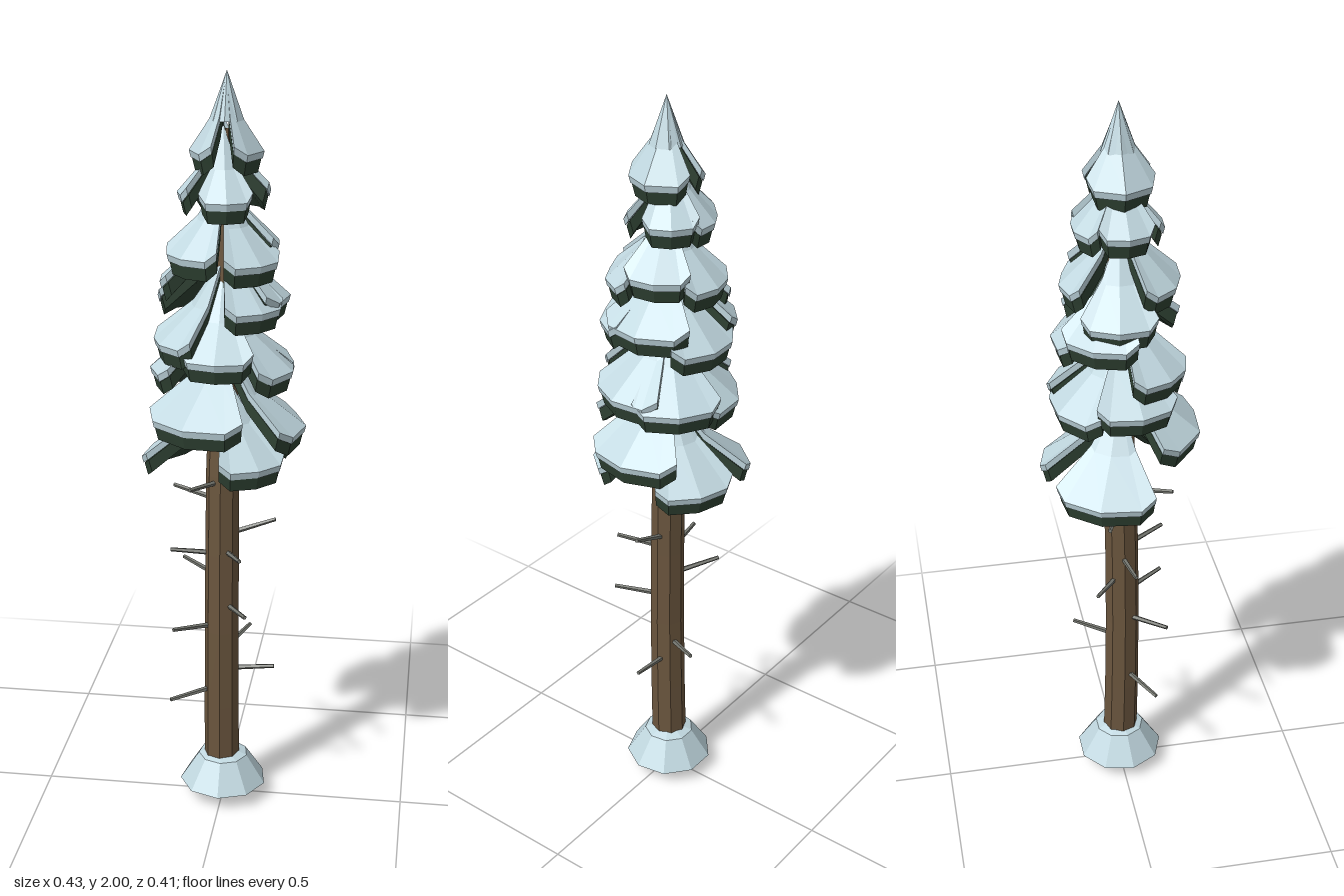
import * as THREE from 'three';

const snow = new THREE.MeshStandardMaterial({ color: 0xc1d8e0 });
const needles = new THREE.MeshStandardMaterial({ color: 0x2f4233 });
const bark = new THREE.MeshStandardMaterial({ color: 0x6b563e });
const twigGrey = new THREE.MeshStandardMaterial({ color: 0x74766f });
snow.name = 'snow';
needles.name = 'needles';
bark.name = 'bark';
twigGrey.name = 'twigGrey';

// Faceted mesh: separate faces so every facet gets its own flat normal
function addMesh(parent, name, geometry, material) {
  const geo = geometry.index ? geometry.toNonIndexed() : geometry;
  geo.computeVertexNormals();
  const mesh = new THREE.Mesh(geo, material);
  mesh.name = name;
  parent.add(mesh);
  return mesh;
}

// Curved fan-shaped slab lying between two depths below the bough's top surface.
// columns: [azimuth in radians, radius factor, edge lift]; rows: [reach, drop]
function fanSlab(columns, rows, radius, apexY, drop, from, to) {
  const pos = [], index = [];
  const nc = columns.length, nr = rows.length;
  for (const depth of [from, to]) {
    for (const [reach, fall] of rows) {
      for (const [azimuth, factor, lift] of columns) {
        const r = Math.max(0.002, radius * reach * factor - depth * 0.25 * reach);
        pos.push(Math.sin(azimuth) * r, apexY - drop * fall + lift * reach - depth, Math.cos(azimuth) * r);
      }
    }
  }
  const top = (i, j) => i * nc + j;
  const low = (i, j) => nr * nc + i * nc + j;
  const quad = (a, b, c, d) => index.push(a, b, c, a, c, d);
  for (let i = 0; i < nr - 1; i++) {
    for (let j = 0; j < nc - 1; j++) {
      quad(top(i, j), top(i + 1, j), top(i + 1, j + 1), top(i, j + 1));
      quad(low(i, j), low(i, j + 1), low(i + 1, j + 1), low(i + 1, j));
    }
    // side walls
    quad(top(i, 0), low(i, 0), low(i + 1, 0), top(i + 1, 0));
    quad(top(i, nc - 1), top(i + 1, nc - 1), low(i + 1, nc - 1), low(i, nc - 1));
  }
  // outer rim
  for (let j = 0; j < nc - 1; j++) {
    quad(top(nr - 1, j), low(nr - 1, j), low(nr - 1, j + 1), top(nr - 1, j + 1));
  }
  const geo = new THREE.BufferGeometry();
  geo.setAttribute('position', new THREE.Float32BufferAttribute(pos, 3));
  geo.setIndex(index);
  return geo;
}

// Snow layer over a thicker needle layer
const rim = [[-1, 0.95, 0.022], [-0.7, 1, 0], [0, 1.02, 0], [0.7, 1, 0], [1, 0.95, 0.022]];
const boughRows = [[0, 0], [0.45, 0.58], [1, 1]];
function makeBough(name, azimuth, width, reach, apexY, drop) {
  const columns = rim.map(([u, f, lift]) => [THREE.MathUtils.degToRad(azimuth + u * width / 2), f, lift]);
  const bough = new THREE.Group();
  bough.name = name;
  addMesh(bough, 'snowLayer', fanSlab(columns, boughRows, reach, apexY, drop, 0, 0.018), snow);
  addMesh(bough, 'needleLayer', fanSlab(columns, boughRows, reach - 0.003, apexY, drop, 0.018, 0.052), needles);
  return bough;
}

export function createModel() {
  const tree = new THREE.Group();
  tree.name = 'snowyPine';

  // Trunk, slightly bent, tapering only inside the crown
  const trunk = new THREE.CylinderGeometry(1, 1, 1.8, 8, 8);
  const p = trunk.attributes.position;
  for (let i = 0; i < p.count; i++) {
    const y = p.getY(i) + 0.96;
    const r = y < 1.05 ? 0.049 - 0.005 * y : 0.044 - (y - 1.05) * 0.042;
    p.setXYZ(i, p.getX(i) * r - 0.004 + 0.003 * y * y, y, p.getZ(i) * r + 0.008 * Math.sin(y * 3));
  }
  addMesh(tree, 'trunk', trunk, bark);

  // Snow mound at the foot
  const mound = [[0, 0], [0.06, 0.016], [0.12, 0.042], [0.068, 0.122], [0.04, 0.132], [0, 0.132]];
  addMesh(tree, 'snowMound', new THREE.LatheGeometry(mound.map(([x, y]) => new THREE.Vector2(x, y)), 9), snow);

  // Bare twigs: tip position and rise from the trunk
  const twigs = [
    [-0.135, 0.318, 0.08, -0.015], [0.14, 0.40, 0, 0.012], [0.06, 0.465, -0.12, 0.02],
    [-0.12, 0.545, 0.11, 0.02], [0.075, 0.603, 0.13, 0.015], [-0.12, 0.678, -0.08, 0.02],
    [0.06, 0.763, 0.13, 0.02], [-0.14, 0.74, 0.02, 0.01], [0.14, 0.835, 0, 0.045],
    [-0.14, 0.90, -0.05, 0.018], [-0.07, 0.955, 0.13, 0.015],
  ];
  const up = new THREE.Vector3(0, 1, 0);
  for (const [x, y, z, rise] of twigs) {
    const tip = new THREE.Vector3(x, y, z);
    const base = new THREE.Vector3(x * 0.15, y - rise, z * 0.15);
    const dir = tip.clone().sub(base);
    const twig = addMesh(tree, 'twig', new THREE.CylinderGeometry(0.0055, 0.0075, dir.length(), 5), twigGrey);
    twig.position.copy(base).addScaledVector(dir, 0.5);
    twig.quaternion.setFromUnitVectors(up, dir.normalize());
  }

  // Boughs: azimuth (0 front, 90 left side), angular width, reach, height of lower rim
  const boughs = [
    [-22, 88, 0.207, 1.085], [35, 62, 0.195, 0.975], [93, 80, 0.212, 1.045], [150, 66, 0.208, 0.965], [-113, 80, 0.215, 0.95],
    [0, 72, 0.168, 1.25], [78, 80, 0.185, 1.205], [135, 78, 0.188, 1.19], [-158, 84, 0.18, 1.17], [-82, 74, 0.185, 1.20],
    [42, 66, 0.17, 1.375], [98, 96, 0.168, 1.39], [168, 78, 0.17, 1.34], [-122, 78, 0.172, 1.38], [-55, 66, 0.178, 1.28],
    [-36, 74, 0.15, 1.505], [44, 72, 0.155, 1.49], [112, 76, 0.143, 1.525], [180, 72, 0.148, 1.495], [-100, 76, 0.162, 1.43],
    [12, 80, 0.11, 1.64], [130, 74, 0.12, 1.655], [-165, 74, 0.118, 1.645], [-88, 78, 0.114, 1.65],
  ];
  for (const [azimuth, width, reach, rimY] of boughs) {
    const drop = 0.125 + reach * 0.45;
    tree.add(makeBough('bough', azimuth, width, reach, rimY + 0.052 + drop, drop));
  }

  // Pointed crown of two wide boughs, with gaps at front and back, under one tip
  for (const [azimuth, width] of [[93, 146], [-90, 144]]) {
    const half = makeBough('crownBough', azimuth, width, 0.092, 1.99, 0.185);
    half.position.x = 0.008;
    tree.add(half);
  }
  const tip = addMesh(tree, 'crownTip', new THREE.ConeGeometry(0.043, 0.12, 8), snow);
  tip.position.set(0.009, 1.94, 0);

  return tree;
}
